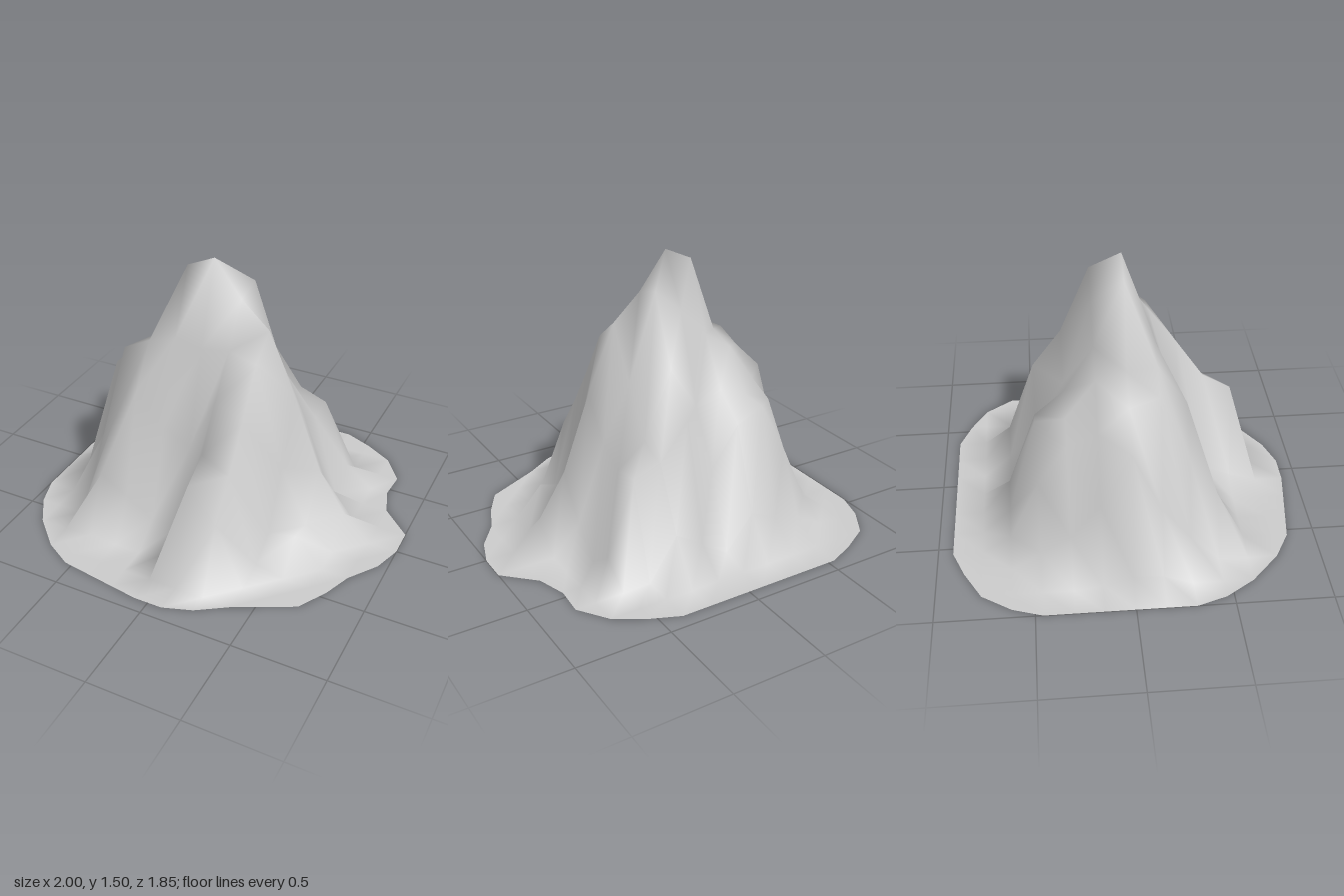
import * as THREE from 'three';

const CELL = 2 / 13, COLS = 13, ROWS = 12;

// Cross-sections from back to front: foot extent [left end, right end],
// then heights from the second column onward (missing ones are 0).
const sections = [
  { foot: [-0.69, 0.54], h: [] },
  { foot: [-0.85, 0.69], h: [] },
  { foot: [-0.95, 0.8], h: [0, 0.02, 0.1, 0.15, 0.22, 0.03, 0.14, 0.23] },
  { foot: [-1, 0.79], h: [0, 0.12, 0.45, 0.73, 0.66, 0.45, 0.76, 0.57, 0.51, 0.12] },
  { foot: [-1, 0.84], h: [0, 0.22, 0.68, 0.74, 0.8, 0.74, 0.97, 0.62, 0.5, 0.01] },
  { foot: [-1, 1], h: [0.02, 0.42, 0.75, 0.96, 1.06, 1.22, 1.34, 0.88, 0.58, 0.16] },
  { foot: [-1, 1], h: [0.07, 0.74, 0.89, 1.01, 1.43, 1.5, 1.3, 1.16, 0.8, 0.39, 0.15] },
  { foot: [-1, 0.95], h: [0.06, 0.38, 0.95, 1.03, 1.08, 1.06, 1.08, 1.04, 0.46, 0.13] },
  { foot: [-1, 0.84], h: [0, 0.17, 0.57, 0.8, 0.62, 0.54, 0.87, 0.79, 0.13, 0.17] },
  { foot: [-0.95, 0.78], h: [0, 0, 0.32, 0.22, 0.12, 0.12, 0.64, 0.56, 0.04] },
  { foot: [-0.85, 0.69], h: [0, 0, 0.01, 0, 0, 0.05, 0.55, 0.36] },
  { foot: [-0.69, 0.385], h: [] },
  { foot: [-0.54, 0.23], h: [] },
];

// How far the first and last rows curve inwards at their ends
const beyond = (x, left, right) => Math.max(0, left - x, x - right);
const backPull = (x) => 0.42 * beyond(x, -0.54, 0.385);
const frontPull = (x) => (x > 0 ? 0.35 : 0.15) * beyond(x, -0.08, 0.08);

export function createModel() {
  const group = new THREE.Group();
  group.name = 'mountain';

  // Regular sheet, raised by the sections and trimmed to the foot outline
  const geometry = new THREE.PlaneGeometry(COLS * CELL, ROWS * CELL, COLS, ROWS);
  geometry.rotateX(-Math.PI / 2);
  const pos = geometry.attributes.position;
  sections.forEach(({ foot, h }, row) => {
    for (let col = 0; col <= COLS; col++) {
      const i = row * (COLS + 1) + col;
      const x = THREE.MathUtils.clamp(pos.getX(i), foot[0], foot[1]);
      let z = pos.getZ(i);
      if (row === 0) z += backPull(x);
      if (row === ROWS) z -= frontPull(x);
      pos.setXYZ(i, x, h[col - 1] ?? 0, z);
    }
  });
  geometry.computeVertexNormals();

  const slopes = new THREE.Mesh(
    geometry,
    new THREE.MeshStandardMaterial({ color: 0xcccccc, side: THREE.DoubleSide })
  );
  slopes.name = 'mountainSlopes';
  group.add(slopes);
  return group;
}
